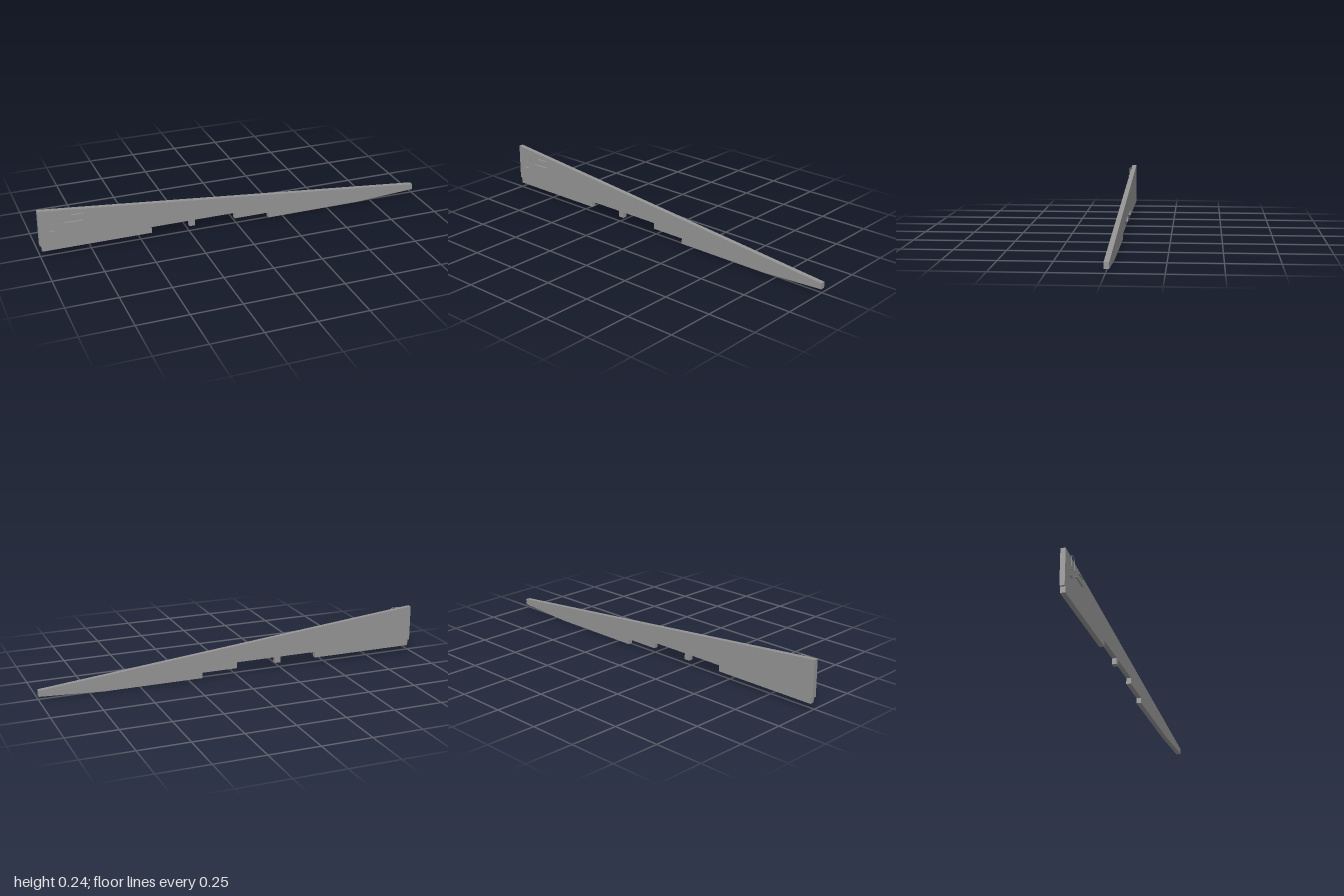
import * as THREE from 'three';

export function createModel() {
  const model = new THREE.Group();
  const material = new THREE.MeshStandardMaterial({ color: 0x949494, flatShading: true });

  // Long tapering slab with a stepped lower edge and a small peg
  const outline = [
    [-1, 0.242], [-1, 0.058], [-0.99, 0.058], [-0.99, 0.028], [-0.445, 0.028],
    [-0.445, 0.059], [-0.25, 0.059], [-0.25, 0.028], [-0.22, 0.028], [-0.22, 0.059],
    [-0.01, 0.059], [-0.01, 0.028], [0.175, 0.028], [0.175, 0],
    [0.68, 0.001], [1, 0.019], [1, 0.049],
  ].map(([x, y]) => new THREE.Vector2(x, y));
  const slab = new THREE.Mesh(
    new THREE.ExtrudeGeometry(new THREE.Shape(outline), { depth: 0.024, bevelEnabled: false }),
    material,
  );
  slab.position.z = -0.017;
  slab.name = 'taperedSlab';
  model.add(slab);

  // Thin strips in front of the slab
  function strip(name, x0, x1, y0, y1, z0, z1, parent = model) {
    const mesh = new THREE.Mesh(new THREE.BoxGeometry(x1 - x0, y1 - y0, z1 - z0), material);
    mesh.position.set((x0 + x1) / 2, (y0 + y1) / 2, (z0 + z1) / 2);
    mesh.name = name;
    parent.add(mesh);
  }
  strip('upperStrip', -0.842, -0.782, 0.199, 0.201, 0.009, 0.017);
  strip('middleStrip', -0.875, -0.782, 0.163, 0.165, 0.009, 0.017);
  strip('lowerStrip', -0.955, -0.925, 0.129, 0.131, 0.009, 0.017);
  strip('uprightStrip', -0.735, -0.734, 0.145, 0.2, 0.009, 0.01);

  // Small rectangular frame near the tall end
  const frame = new THREE.Group();
  frame.name = 'smallFrame';
  for (const x of [-0.945, -0.905]) strip('frameSide', x, x + 0.003, 0.165, 0.235, 0.0155, 0.017, frame);
  for (const y of [0.165, 0.232]) strip('frameRail', -0.942, -0.905, y, y + 0.003, 0.0155, 0.017, frame);
  model.add(frame);

  return model;
}
